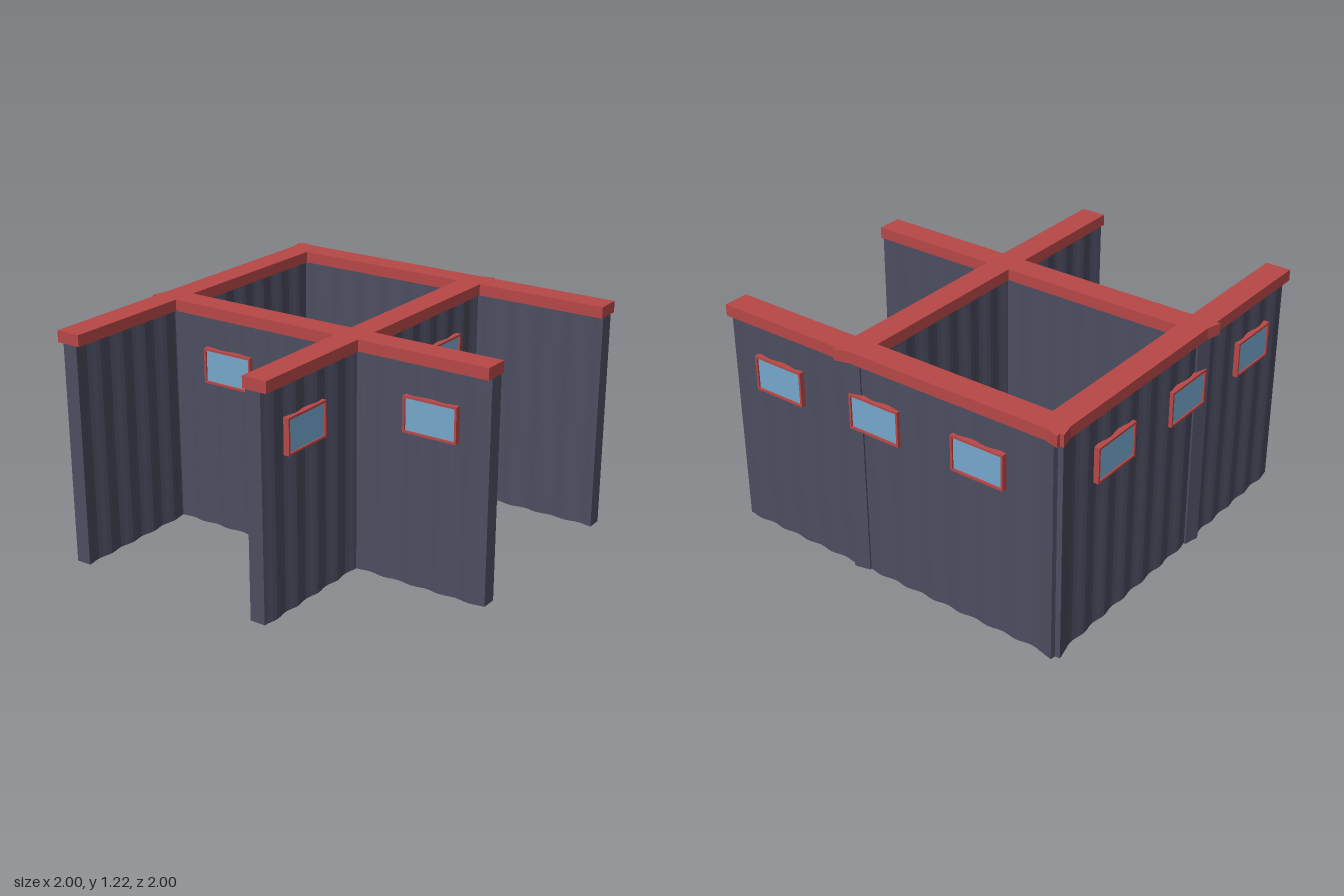
import * as THREE from 'three';

const wallMat = new THREE.MeshStandardMaterial({ color: 0x4c4e61, flatShading: true });
const trimMat = new THREE.MeshStandardMaterial({ color: 0xb84747, flatShading: true });
const glassMat = new THREE.MeshStandardMaterial({ color: 0x74a8cc, flatShading: true });

// Each wall has a plan frame: u runs along the wall, v points to its window side.
const walls = [
  { name: 'innerCrossWall', plan: (u, v) => [u, v] },
  { name: 'backWall', plan: (u, v) => [u, -v - 0.695] },
  { name: 'innerLengthWall', plan: (u, v) => [v, u] },
  { name: 'sideWall', plan: (u, v) => [-v - 0.695, u] },
];

// Upright prism over a plan outline given in (u, v)
function prism(name, outline, y0, y1, plan, material) {
  const shape = new THREE.Shape(outline.map(([u, v]) => {
    const [x, z] = plan(u, v);
    return new THREE.Vector2(x, -z);
  }));
  const geo = new THREE.ExtrudeGeometry(shape, { depth: y1 - y0, bevelEnabled: false });
  geo.rotateX(-Math.PI / 2).translate(0, y0, 0);
  const mesh = new THREE.Mesh(geo, material);
  mesh.name = name;
  return mesh;
}

const rect = (u0, u1, v0, v1) => [[u0, v0], [u1, v0], [u1, v1], [u0, v1]];

// Corrugated slab: both faces follow the same wave, the far end is cut at a slant
function slabOutline() {
  const waves = 12, steps = waves * 6, near = [], far = [];
  for (let i = 0; i <= steps; i++) {
    const t = i / steps;
    const wave = 0.006 * (1 - Math.cos(t * waves * Math.PI * 2));
    near.push([THREE.MathUtils.lerp(-0.955, 0.999, t), 0.167 + wave]);
    far.push([THREE.MathUtils.lerp(-0.975, 0.999, t), 0.25 + wave]);
  }
  return near.concat(far.reverse());
}

// Framed window standing proud of the wall face
function makeWindow(u, plan) {
  const g = new THREE.Group();
  g.name = 'window';
  const w = 0.148, b = 0.011, y0 = 0.805, y1 = 0.992, v0 = 0.235, v1 = 0.281;
  for (const s of [-1, 1]) {
    const a = u + s * w, c = u + s * (w - b);
    g.add(prism('frameSide', rect(Math.min(a, c), Math.max(a, c), v0, v1), y0, y1, plan, trimMat));
  }
  const bar = rect(u - w + b, u + w - b, v0, v1);
  g.add(prism('frameSill', bar, y0, y0 + b, plan, trimMat));
  g.add(prism('frameHead', bar, y1 - b, y1, plan, trimMat));
  g.add(prism('pane', rect(u - w + b, u + w - b, v0, 0.272), y0 + b, y1 - b, plan, glassMat));
  return g;
}

export function createModel() {
  const model = new THREE.Group();
  model.name = 'corrugatedWalls';
  const capOutline = [[-0.966, 0.15], [1, 0.15], [1, 0.285], [-1, 0.285]];
  for (const { name, plan } of walls) {
    const g = new THREE.Group();
    g.name = name;
    g.add(prism('wallPanel', slabOutline(), 0, 1.19, plan, wallMat));
    g.add(prism('wallCap', capOutline, 1.16, 1.22, plan, trimMat));
    for (const u of [-0.525, 0.08, 0.685]) g.add(makeWindow(u, plan));
    model.add(g);
  }
  return model;
}
